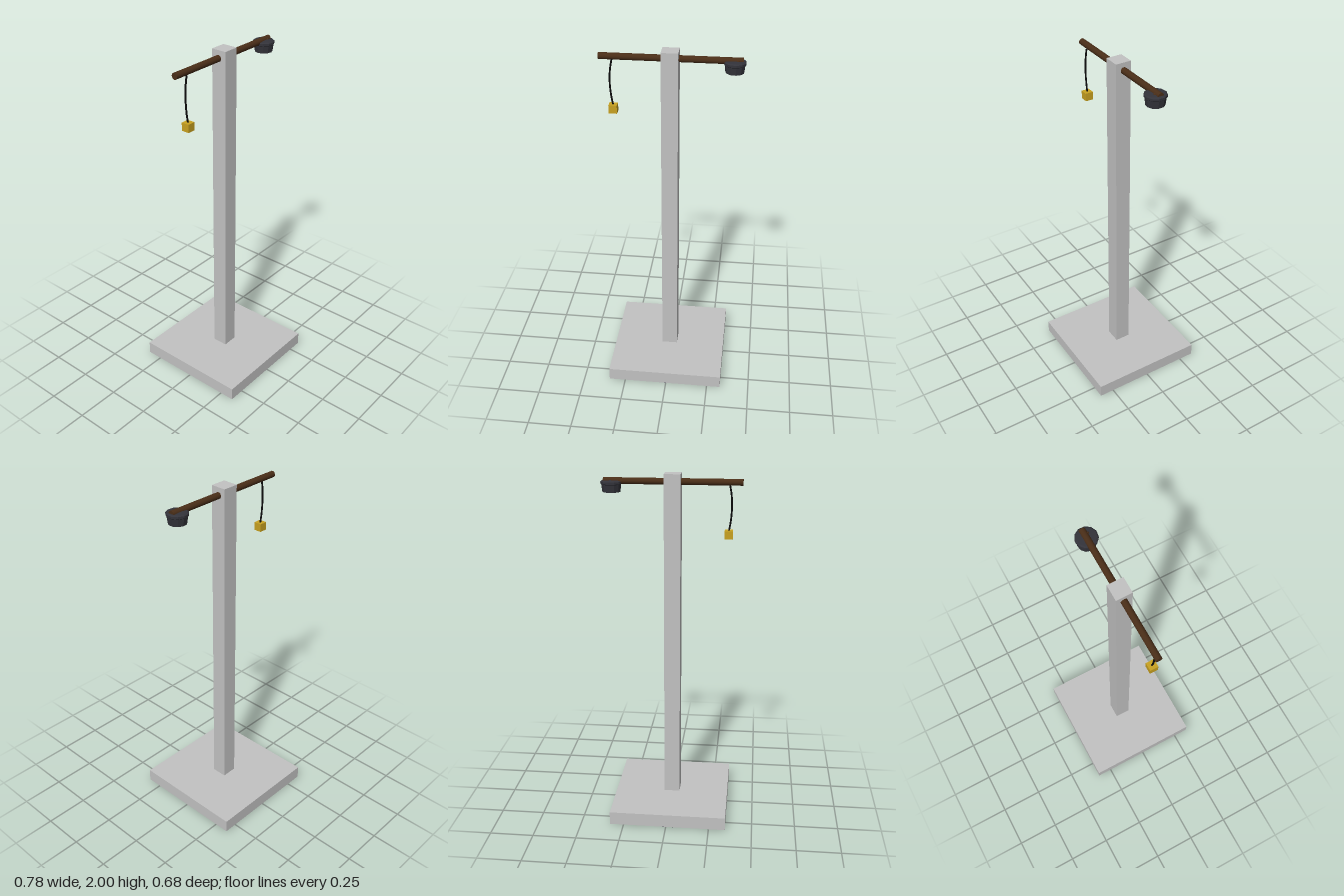
import * as THREE from 'three';

export function createModel() {
  const model = new THREE.Group();
  const mat = (name, color, extra = {}) => {
    const m = new THREE.MeshStandardMaterial({ color, ...extra });
    m.name = name;
    return m;
  };
  const stone = mat('pale stone', 0xc2c2c2);
  const wood = mat('dark wood', 0x4a2e18);
  const iron = mat('dark iron', 0x33333a, { flatShading: true });
  const rope = mat('black cord', 0x0c0c0c);
  const gold = mat('gold', 0xc9a220);
  const navy = mat('dark navy', 0x0c0c22, { side: THREE.DoubleSide });

  const add = (name, geometry, material, x = 0, y = 0, z = 0) => {
    const mesh = new THREE.Mesh(geometry, material);
    mesh.name = name;
    mesh.position.set(x, y, z);
    model.add(mesh);
    return mesh;
  };

  // Square plinth and tall post
  add('base', new THREE.BoxGeometry(0.675, 0.077, 0.675), stone, -0.008, 0.0415, 0);
  add('post', new THREE.BoxGeometry(0.092, 1.922, 0.09), stone, -0.008, 1.039, 0);

  // Round dark plate under the plinth
  const plate = add('undersidePlate', new THREE.CircleGeometry(0.335, 48), navy, -0.008, 0, 0);
  plate.rotation.x = Math.PI / 2;

  // Crossbar through the post, with a small peg near its end
  const bar = add('crossbar', new THREE.CylinderGeometry(0.018, 0.018, 0.765, 16), wood, -0.008, 1.956, -0.002);
  bar.rotation.z = Math.PI / 2;
  add('peg', new THREE.SphereGeometry(0.008, 10, 8), wood, 0.345, 1.958, 0.014);

  // Faceted lamp pot with a rim and a shallow lid
  const profile = [[0, 1.895], [0.05, 1.895], [0.055, 1.936], [0.06, 1.94], [0.06, 1.952], [0.053, 1.957], [0, 1.961]]
    .map(([r, y]) => new THREE.Vector2(r, y));
  const lamp = add('lampPot', new THREE.LatheGeometry(profile, 11), iron, 0.331, 0, 0);
  lamp.rotation.y = -Math.PI / 2;

  // Bowed cord carrying a small cube
  const path = new THREE.CatmullRomCurve3([
    [-0.317, 1.945, 0.012], [-0.328, 1.88, 0.013], [-0.331, 1.81, 0.014],
    [-0.326, 1.74, 0.014], [-0.317, 1.685, 0.014],
  ].map((p) => new THREE.Vector3(...p)));
  add('cord', new THREE.TubeGeometry(path, 20, 0.005, 8, false), rope);
  add('hangingCube', new THREE.BoxGeometry(0.046, 0.046, 0.046), gold, -0.317, 1.667, 0.014);

  return model;
}
